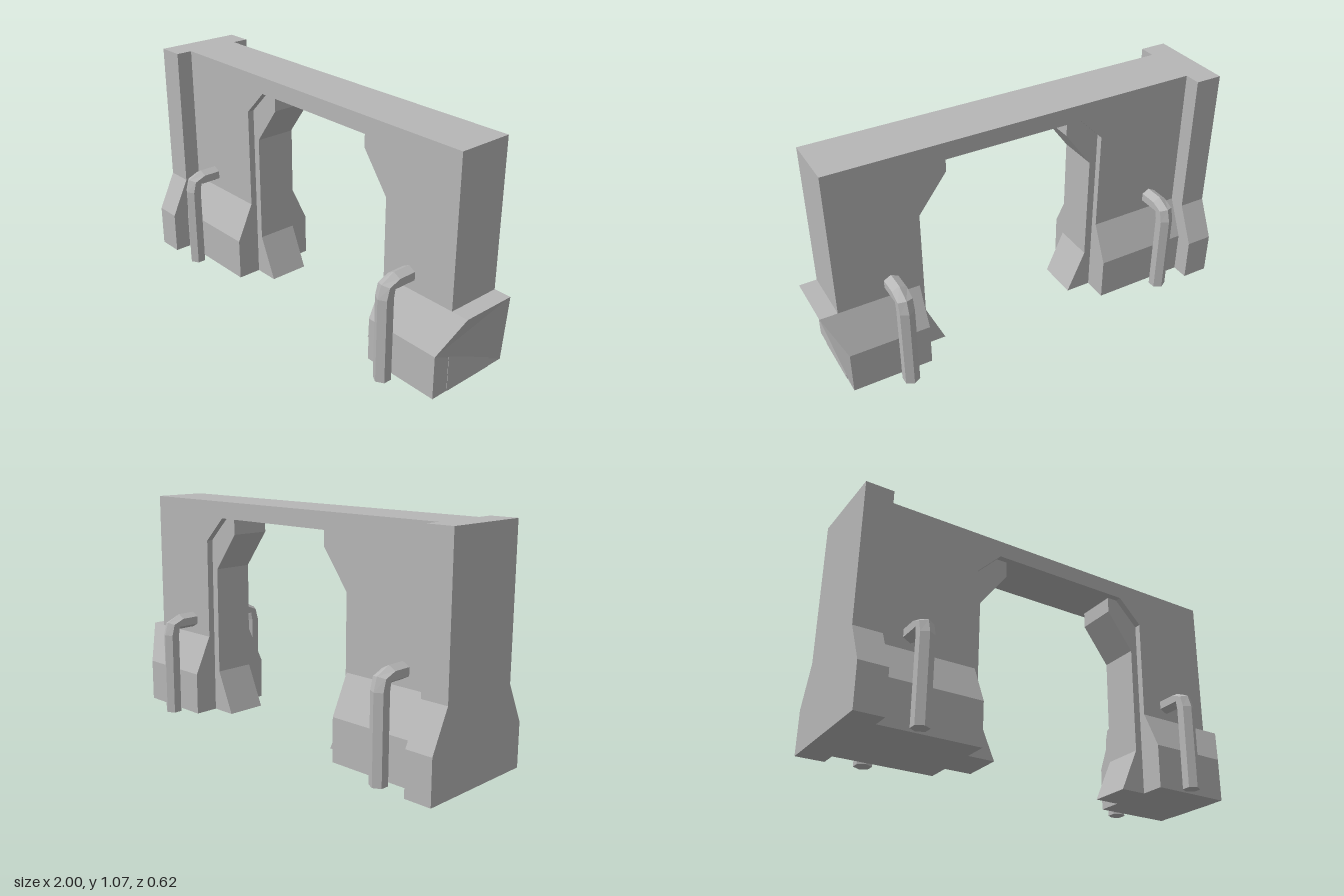
import * as THREE from 'three';

const stone = new THREE.MeshStandardMaterial({ color: 0xb6b6b6 });
stone.name = 'grey stone';

function outline(points) {
  return new THREE.Shape(points.map(([a, b]) => new THREE.Vector2(a, b)));
}

// Front outline (x, y) given depth along z, centred on z = 0
function slab(points, halfDepth) {
  const g = new THREE.ExtrudeGeometry(outline(points), { depth: halfDepth * 2, bevelEnabled: false });
  return g.translate(0, 0, -halfDepth);
}

// Symmetric end outline given as half profile (z, y), run along x
function run(half, x0, x1) {
  const mirrored = half.map(([z, y]) => [-z, y]).reverse();
  const g = new THREE.ExtrudeGeometry(outline([...half, ...mirrored]), { depth: x1 - x0, bevelEnabled: false });
  return g.rotateY(Math.PI / 2).translate(x0, 0, 0);
}

// Bent hexagonal pipe: each station is outer z, y then inner z, y
function pipeGeometry() {
  const stations = [
    [0.31, 0, 0.23, 0], [0.31, 0.4, 0.23, 0.4], [0.291, 0.462, 0.227, 0.432],
    [0.22, 0.496, 0.214, 0.42], [0.1, 0.496, 0.1, 0.42],
  ];
  const rings = stations.map(([zo, yo, zi, yi]) => Array.from({ length: 6 }, (_, i) => {
    const a = i * Math.PI / 3, t = (1 + Math.cos(a)) / 2;
    return [0.04 * Math.sin(a), yi + (yo - yi) * t, zi + (zo - zi) * t];
  }));
  const pos = [];
  const tri = (a, b, c) => pos.push(...a, ...b, ...c);
  for (let s = 0; s < rings.length - 1; s++) {
    for (let i = 0; i < 6; i++) {
      const j = (i + 1) % 6;
      const a = rings[s][i], b = rings[s][j], c = rings[s + 1][j], d = rings[s + 1][i];
      tri(a, b, c);
      tri(a, c, d);
    }
  }
  for (let i = 1; i < 5; i++) {
    tri(rings[0][0], rings[0][i + 1], rings[0][i]);
    tri(rings[4][0], rings[4][i], rings[4][i + 1]);
  }
  const g = new THREE.BufferGeometry();
  g.setAttribute('position', new THREE.Float32BufferAttribute(pos, 3));
  g.computeVertexNormals();
  return g;
}

export function createModel() {
  const model = new THREE.Group();
  model.name = 'archway';
  const add = (name, geometry) => {
    const mesh = new THREE.Mesh(geometry, stone);
    mesh.name = name;
    model.add(mesh);
    return mesh;
  };

  // Wall with the chamfered opening
  add('archWall', slab([
    [-0.87, 0], [-0.405, 0], [-0.405, 0.872], [-0.287, 0.99], [0.417, 0.99], [0.535, 0.872],
    [0.535, 0], [0.918, 0], [0.918, 1.07], [-0.87, 1.07],
  ], 0.132));

  // Narrower linings with flared feet and corner braces, mirrored about the opening
  const lining = [
    [-0.45, 0], [-0.28, 0], [-0.37, 0.205], [-0.37, 0.73],
    [-0.235, 0.912], [-0.235, 1.0], [-0.45, 1.0],
  ];
  add('rightLining', slab(lining, 0.1));
  add('leftLining', slab(lining.map(([x, y]) => [0.13 - x, y]).reverse(), 0.1));

  // Thick end pillar with a splayed foot
  add('endPillar', run([[0.3, 0], [0.3, 0.205], [0.212, 0.388], [0.212, 1.07]], -1, -0.87));

  // Sloped bases on both legs
  const base = [[0.217, 0], [0.217, 0.205], [0.132, 0.386]];
  add('rightBase', run(base, -0.87, -0.405));
  const leftBase = run(base, 0.535, 0.916);
  // The upper end edge of this base juts outward
  const p = leftBase.attributes.position;
  for (let i = 0; i < p.count; i++) {
    if (p.getX(i) > 0.9 && p.getY(i) > 0.3) p.setX(i, 1);
  }
  leftBase.computeVertexNormals();
  add('leftBase', leftBase);

  // Pipes rising from the ground and bending into the wall
  const pipe = pipeGeometry();
  for (const [name, x, turn] of [
    ['frontRightPipe', -0.712, 0], ['backRightPipe', -0.712, Math.PI],
    ['frontLeftPipe', 0.676, 0], ['backLeftPipe', 0.664, Math.PI],
  ]) {
    const mesh = add(name, pipe);
    mesh.position.x = x;
    mesh.rotation.y = turn;
  }
  return model;
}
